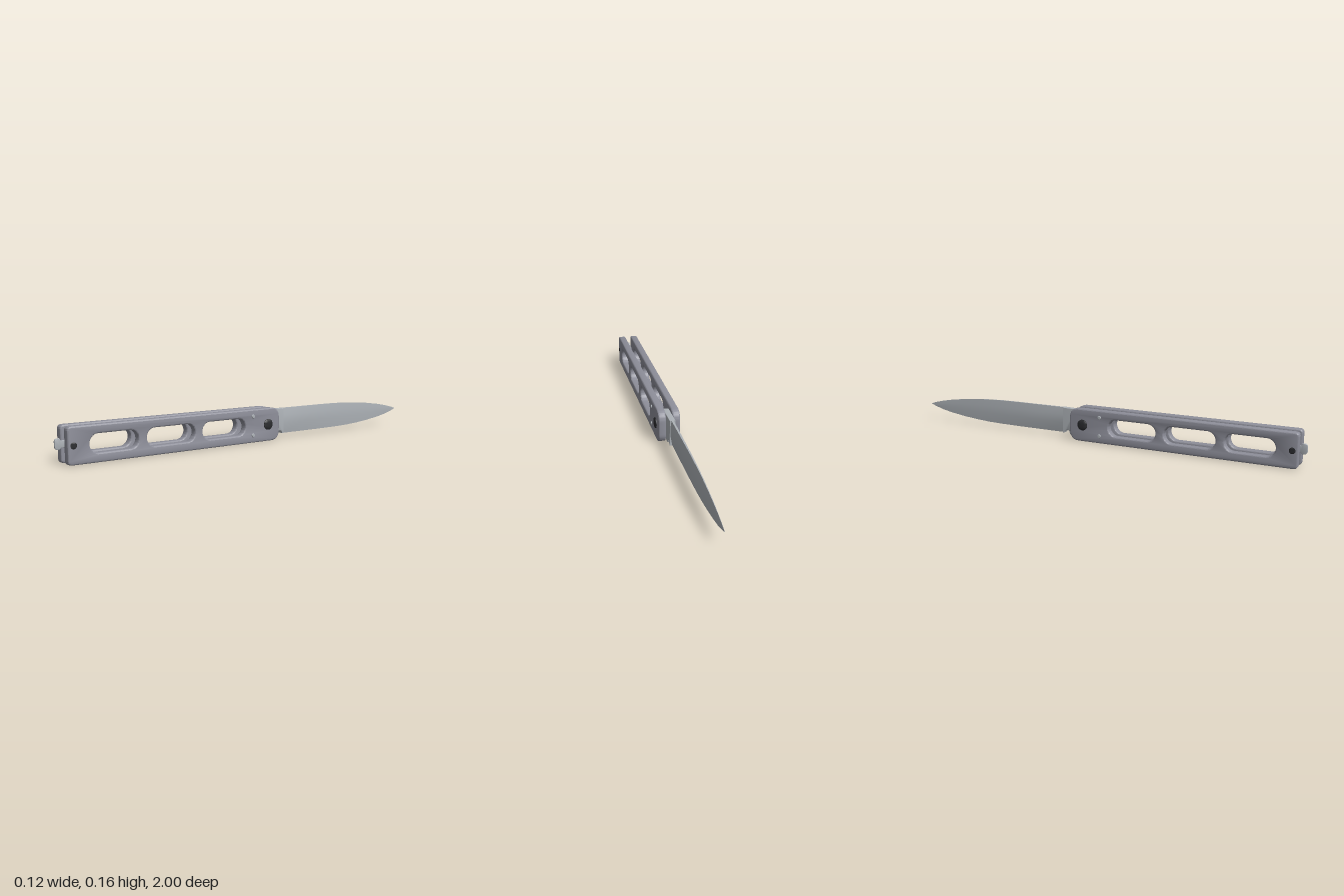
import * as THREE from 'three';
import { toCreasedNormals } from 'three/addons/utils/BufferGeometryUtils.js';

const mat = (name, color, side = THREE.FrontSide) => {
  const m = new THREE.MeshStandardMaterial({ color, side });
  m.name = name;
  return m;
};

// Extrudes a (z, y) outline across x, centred on x = 0, inside the given thickness
function plate(shape, thickness, bevel) {
  const g = new THREE.ExtrudeGeometry(shape, {
    depth: thickness - 2 * bevel, curveSegments: 12, bevelEnabled: bevel > 0,
    bevelThickness: bevel, bevelSize: bevel, bevelOffset: -bevel, bevelSegments: 3,
  });
  g.translate(0, 0, -(thickness - 2 * bevel) / 2);
  g.rotateY(-Math.PI / 2);
  return toCreasedNormals(g, 0.6);
}

// Handle scale: rounded at the pivot end, small corners at the butt, three slots
function handleShape() {
  const a = -0.12, b = 0.97, h = 0.158, r = 0.05, c = 0.018;
  const s = new THREE.Shape();
  s.moveTo(a + r, 0);
  s.lineTo(b - c, 0);
  s.quadraticCurveTo(b, 0, b, c);
  s.lineTo(b, h - c);
  s.quadraticCurveTo(b, h, b - c, h);
  s.lineTo(a + r, h);
  s.quadraticCurveTo(a, h, a, h - r);
  s.lineTo(a, r);
  s.quadraticCurveTo(a, 0, a + r, 0);
  for (const [z0, z1] of [[0.085, 0.325], [0.365, 0.61], [0.65, 0.875]]) {
    const R = 0.04, y = 0.08, p = new THREE.Path();
    p.moveTo(z0 + R, y + R);
    p.absarc(z0 + R, y, R, Math.PI / 2, Math.PI * 1.5, false);
    p.lineTo(z1 - R, y - R);
    p.absarc(z1 - R, y, R, -Math.PI / 2, Math.PI / 2, false);
    p.closePath();
    s.holes.push(p);
  }
  return s;
}

// Domed head on a short shank, pointing out along +x from the handle face
function headGeometry(radius, height) {
  const pts = [[0, -0.03], [radius, -0.03], [radius, height * 0.35], [radius * 0.85, height * 0.75],
    [radius * 0.5, height], [0, height]].map(([x, y]) => new THREE.Vector2(x, y));
  return toCreasedNormals(new THREE.LatheGeometry(pts, 20).rotateZ(-Math.PI / 2), 0.6);
}

// Blade: eight-sided sections swept from the ricasso to the point
function bladeGeometry() {
  const rows = [[-0.178, 0.145, 0.02], [-0.3, 0.145, 0.02], [-0.42, 0.145, 0.02], [-0.54, 0.144, 0.021],
    [-0.62, 0.141, 0.023], [-0.7, 0.136, 0.028], [-0.78, 0.128, 0.036], [-0.86, 0.117, 0.047],
    [-0.92, 0.106, 0.058], [-0.97, 0.094, 0.072], [-1, 0.084, 0.083]];
  const section = [[0.45, 1], [0.9, 0.72], [0.9, 0.4], [0.1, 0]];
  const loop = [...section, ...section.slice().reverse().map(([x, v]) => [-x, v])];
  const n = loop.length, pos = [], idx = [];
  for (const [z, top, low] of rows) {
    const w = 0.0105 * (1 + z) / 0.82 + 0.0008;
    for (const [x, v] of loop) pos.push(x * w, low + (top - low) * v, z);
  }
  for (let i = 0; i < rows.length - 1; i++)
    for (let j = 0; j < n; j++) {
      const k = (j + 1) % n, a = i * n, b = a + n;
      idx.push(a + j, a + k, b + j, a + k, b + k, b + j);
    }
  const e = (rows.length - 1) * n;
  for (let j = 1; j < n - 1; j++) idx.push(0, j + 1, j, e, e + j, e + j + 1);
  const g = new THREE.BufferGeometry();
  g.setAttribute('position', new THREE.Float32BufferAttribute(pos, 3));
  g.setIndex(idx);
  return toCreasedNormals(g, 0.6);
}

// Tang: round about the pivot, with a kicker and finger notch below the ricasso
function tangShape() {
  const s = new THREE.Shape();
  s.moveTo(-0.18, 0.145);
  s.lineTo(-0.18, 0.02);
  s.lineTo(-0.17, 0.022);
  s.quadraticCurveTo(-0.168, 0.036, -0.155, 0.036);
  s.quadraticCurveTo(-0.142, 0.036, -0.142, 0.022);
  s.quadraticCurveTo(-0.14, 0.014, -0.13, 0.014);
  s.lineTo(-0.11, 0.014);
  s.lineTo(-0.05, 0.018);
  s.absarc(-0.05, 0.08, 0.062, -Math.PI / 2, Math.PI / 2, false);
  s.lineTo(-0.11, 0.143);
  s.closePath();
  return s;
}

// Latch tab with a narrow neck and a small T-shaped end
function latchShape() {
  const s = new THREE.Shape();
  s.moveTo(0.92, 0.068);
  s.lineTo(0.974, 0.068);
  s.lineTo(0.978, 0.06);
  s.lineTo(0.99, 0.06);
  s.quadraticCurveTo(1, 0.063, 1, 0.075);
  s.lineTo(1, 0.093);
  s.quadraticCurveTo(1, 0.104, 0.99, 0.106);
  s.lineTo(0.978, 0.106);
  s.lineTo(0.974, 0.096);
  s.lineTo(0.92, 0.096);
  s.closePath();
  return s;
}

export function createModel() {
  const knife = new THREE.Group();
  knife.name = 'foldingKnife';
  const handleGrey = mat('handleGrey', 0x8e8f9a);
  const steel = mat('steel', 0xaeb3b8);
  const black = mat('blackHardware', 0x2b2c2f);

  const add = (parent, name, geometry, material, x = 0, y = 0, z = 0) => {
    const m = new THREE.Mesh(geometry, material);
    m.name = name;
    m.position.set(x, y, z);
    parent.add(m);
    return m;
  };

  add(knife, 'blade', bladeGeometry(), steel);
  add(knife, 'tang', plate(tangShape(), 0.027, 0.0015), steel);
  add(knife, 'latch', plate(latchShape(), 0.01, 0.0015), steel, -0.01);

  // Two mirrored handles with their bolts and pins
  const scale = plate(handleShape(), 0.036, 0.006);
  const pivot = headGeometry(0.026, 0.008);
  const buttBolt = headGeometry(0.014, 0.003);
  const pin = headGeometry(0.009, 0.005);
  for (const side of [1, -1]) {
    const handle = new THREE.Group();
    handle.name = side > 0 ? 'leftHandle' : 'rightHandle';
    add(handle, 'handleScale', scale, handleGrey, side * 0.0335);
    const heads = [['pivotBolt', pivot, black, 0.08, -0.05], ['buttBolt', buttBolt, black, 0.08, 0.945],
      ['lowerPin', pin, steel, 0.035, 0.04], ['upperPin', pin, steel, 0.125, 0.04]];
    for (const [name, geometry, material, y, z] of heads) {
      const m = add(handle, name, geometry, material, side * 0.0515, y, z);
      if (side < 0) m.rotation.y = Math.PI;
    }
    knife.add(handle);
  }
  return knife;
}
